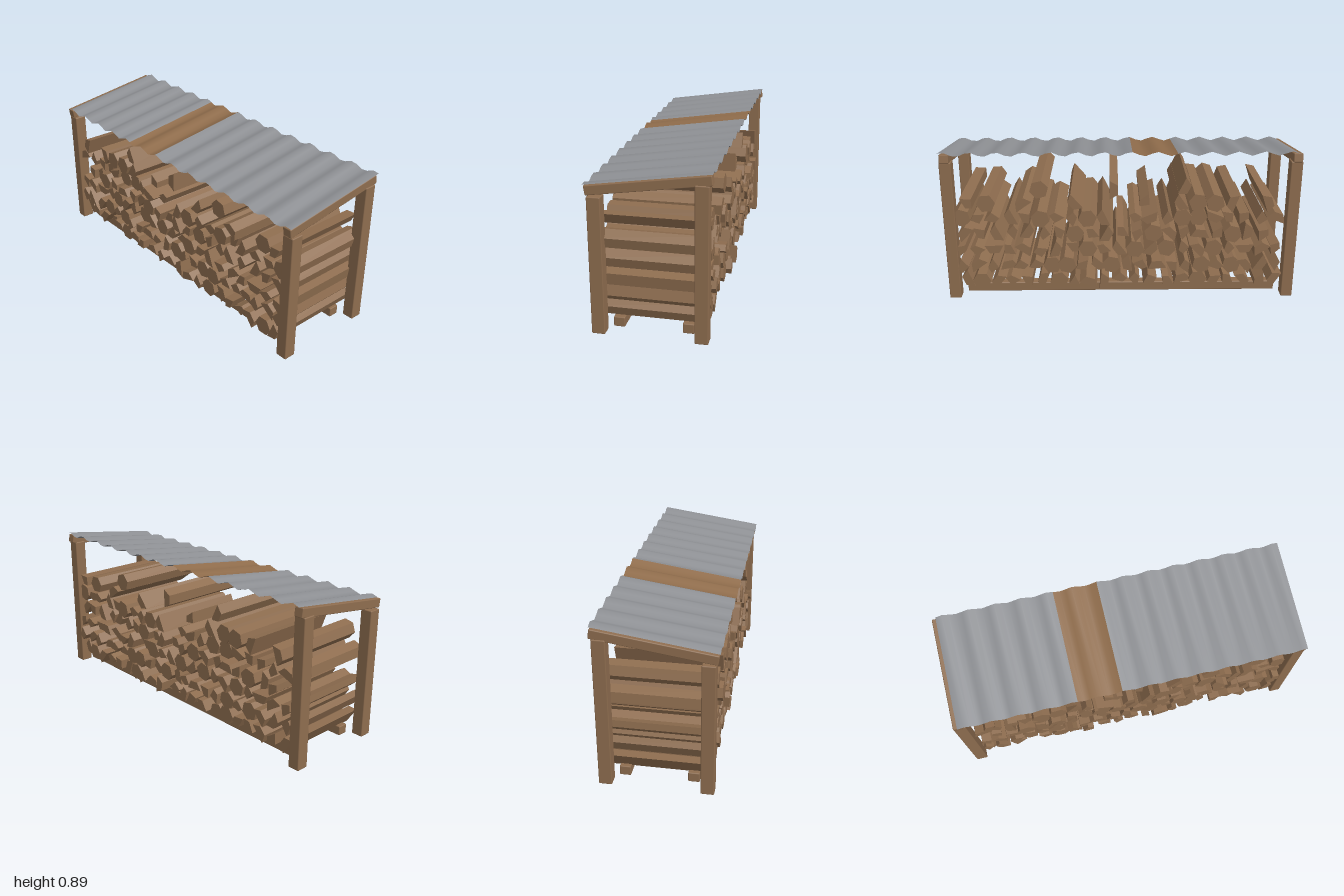
import * as THREE from 'three';
import { RoundedBoxGeometry } from 'three/addons/geometries/RoundedBoxGeometry.js';

export function createModel() {
  const model = new THREE.Group();
  model.name = 'firewoodShelter';

  const wood = new THREE.MeshStandardMaterial({ color: 0x8e6d4f });
  wood.name = 'brown wood';
  const metal = new THREE.MeshStandardMaterial({ color: 0x8e9094, side: THREE.DoubleSide });
  metal.name = 'grey sheet metal';
  const rust = new THREE.MeshStandardMaterial({ color: 0x8f6c4b, side: THREE.DoubleSide });
  rust.name = 'brown sheet';

  let seed = 11;
  const rand = () => {
    seed = (seed * 16807) % 2147483647;
    return seed / 2147483647;
  };
  const jitter = (a) => (rand() * 2 - 1) * a;

  const add = (name, geometry, material, x, y, z, parent = model) => {
    const mesh = new THREE.Mesh(geometry, material);
    mesh.name = name;
    mesh.position.set(x, y, z);
    parent.add(mesh);
    return mesh;
  };
  const timber = (w, h, d) => new RoundedBoxGeometry(w, h, d, 1, 0.005);

  // Corner posts (taller on the +x side) and sloping end beams
  const slope = Math.atan2(0.09, 0.62);
  for (const end of [1, -1]) {
    add('tallPost', timber(0.07, 0.824, 0.066), wood, 0.264, 0.412, end * 0.967);
    add('shortPost', timber(0.07, 0.732, 0.066), wood, -0.264, 0.366, end * 0.967);
    add('roofBeam', timber(0.627, 0.05, 0.052), wood, 0.001, 0.805, end * 0.968).rotation.z = slope;
  }

  // Ground runners under the stack
  for (const side of [1, -1]) {
    add('runner', timber(0.06, 0.054, 1.815), wood, side * 0.181, 0.027, 0);
  }

  // Corrugated roof sheets, waves running across z
  const period = 0.147;
  function roofSheet(name, z0, z1, material) {
    const steps = Math.round(((z1 - z0) / period) * 4);
    const geo = new THREE.PlaneGeometry(0.63, z1 - z0, 1, steps);
    geo.rotateX(-Math.PI / 2);
    geo.translate(0, 0, (z0 + z1) / 2);
    const p = geo.attributes.position;
    for (let i = 0; i < p.count; i++) {
      const wave = 0.012 * Math.cos((2 * Math.PI * (p.getZ(i) - 0.977)) / period);
      p.setY(i, 0.831 + p.getX(i) * Math.tan(slope) + wave);
    }
    geo.computeVertexNormals();
    add(name, geo, material, 0, 0, 0);
  }
  roofSheet('frontRoofSheet', -0.06, 1.0, metal);
  roofSheet('brownRoofSheet', -0.31, -0.06, rust);
  roofSheet('backRoofSheet', -0.972, -0.31, metal);

  // Log sections: H whole hexagon, D split half, Q split wedge
  const corner = (k, r = 0.054) => [r * Math.cos((k * Math.PI) / 3), r * Math.sin((k * Math.PI) / 3)];
  const sections = {
    H: () => [0, 1, 2, 3, 4, 5].map((k) => corner(k)),
    D: () => [0, 1, 2, 3].map((k) => corner(k)),
    Q: () => [[0, 0], corner(0, 0.064), corner(1, 0.062), corner(1.6, 0.055)],
  };
  function logGeometry(type, length) {
    const pts = sections[type]();
    const cx = pts.reduce((s, p) => s + p[0], 0) / pts.length;
    const cy = pts.reduce((s, p) => s + p[1], 0) / pts.length;
    const shape = new THREE.Shape(pts.map(([x, y]) => new THREE.Vector2(x - cx, y - cy)));
    const geo = new THREE.ExtrudeGeometry(shape, { depth: length, bevelEnabled: false });
    geo.translate(0, 0, -length / 2);
    geo.rotateZ(type === 'H' ? jitter(0.3) : rand() * Math.PI * 2);
    geo.rotateY(Math.PI / 2);
    return geo;
  }

  // Stack rows from the ground up: height, first z, spacing, logs from front (+z) to back
  const rows = [
    [0.1, 0.9, 0.0895, 'DHDQQDHQDDQQQQDHQQDQD'],
    [0.2, 0.915, 0.086, 'QDQDQQHHQDHDQDQQHQHDDQ'],
    [0.3, 0.912, 0.09, 'QQDQDQDQHQDHDHQDHQDDQ'],
    [0.395, 0.89, 0.0895, 'DQDQDQQHQDQQHDQDQHDQ'],
    [0.49, 0.905, 0.0893, 'HQQDQHQQHD.QDQHHDQQQD'],
    [0.58, 0.86, 0.0993, 'QH.D..D...Q.DHHD.D'],
    [0.662, 0.46, 0.413, 'HDD'],
  ];
  const stack = new THREE.Group();
  stack.name = 'logStack';
  model.add(stack);
  for (const [y, firstZ, spacing, row] of rows) {
    [...row].forEach((type, i) => {
      if (type === '.') return;
      const small = type === 'H' ? 0.002 : 0.006;
      const z = firstZ - i * spacing + jitter(small);
      const length = 0.56 + jitter(0.035);
      add('log', logGeometry(type, length), wood, jitter(0.01), y + jitter(small), z, stack);
    });
  }

  return model;
}
